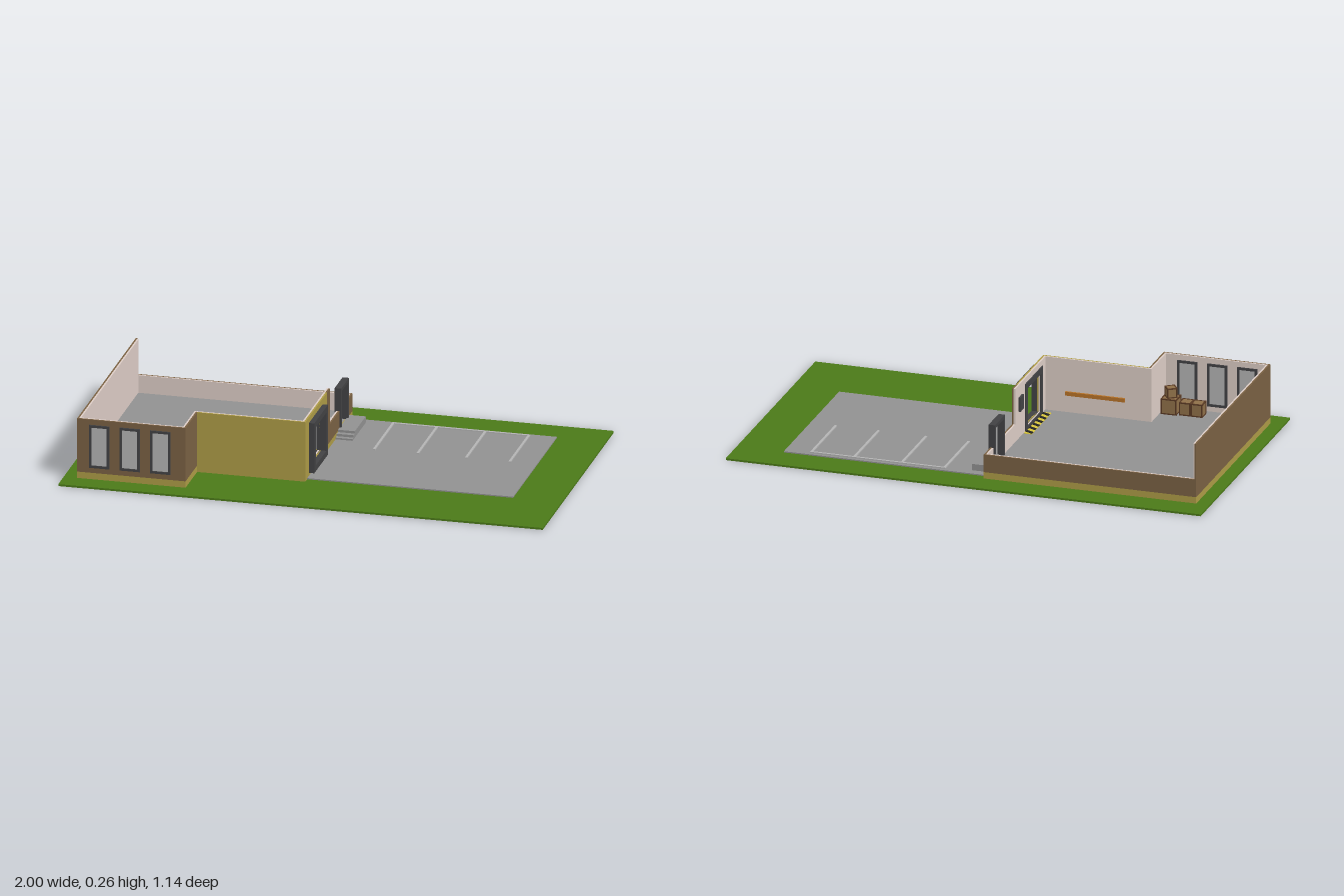
import * as THREE from 'three';

const mat = (color) => new THREE.MeshStandardMaterial({ color, flatShading: true });
const M = {
  grass: mat(0x4b7a18), paving: mat(0x919191), line: mat(0xb4b4b4), floor: mat(0x919191),
  yellow: mat(0xad9b46), brown: mat(0x7a6143), plaster: mat(0xddcdc6), dark: mat(0x424244),
  glass: mat(0xb4b4b4), orange: mat(0xb87328), wood: mat(0x8f7049), darkWood: mat(0x5a3a24),
  hazard: mat(0xd8c53c), black: mat(0x222222),
};

const GROUND = 0.008, FLOOR = 0.035, TOP = 0.262, LOW = 0.11, SKIN = 0.007;

export function createModel() {
  const root = new THREE.Group();

  // Box given by its minimum and maximum corners
  function box(name, m, x0, x1, y0, y1, z0, z1, parent = root) {
    const mesh = new THREE.Mesh(new THREE.BoxGeometry(x1 - x0, y1 - y0, z1 - z0), m);
    mesh.position.set((x0 + x1) / 2, (y0 + y1) / 2, (z0 + z1) / 2);
    mesh.name = name;
    parent.add(mesh);
    return mesh;
  }

  function rect(Type, x0, x1, y0, y1) {
    const p = new Type();
    p.moveTo(x0, y0);
    p.lineTo(x1, y0);
    p.lineTo(x1, y1);
    p.lineTo(x0, y1);
    p.closePath();
    return p;
  }

  // One wall skin from (ax, az) to (bx, bz); thickness grows to the inside
  function skin(name, m, [ax, az], [bx, bz], y0, y1, inset, hole) {
    const len = Math.hypot(bx - ax, bz - az), dx = (bx - ax) / len, dz = (bz - az) / len;
    const shape = rect(THREE.Shape, 0, len, y0, y1);
    if (hole) shape.holes.push(rect(THREE.Path, ...hole));
    const mesh = new THREE.Mesh(
      new THREE.ExtrudeGeometry(shape, { depth: SKIN, bevelEnabled: false }), m);
    mesh.rotation.y = Math.atan2(-dz, dx);
    mesh.position.set(ax - dz * inset, 0, az + dx * inset);
    mesh.name = name;
    root.add(mesh);
  }

  // Upright rectangular frame of four bars, facing x or z
  function frame(name, axis, u0, u1, y0, y1, d0, d1, w, sill = w) {
    const g = new THREE.Group();
    g.name = name;
    const bar = (a0, a1, b0, b1) => axis === 'x'
      ? box('frameBar', M.dark, d0, d1, b0, b1, a0, a1, g)
      : box('frameBar', M.dark, a0, a1, b0, b1, d0, d1, g);
    bar(u0, u0 + w, y0, y1);
    bar(u1 - w, u1, y0, y1);
    bar(u0 + w, u1 - w, y1 - w, y1);
    if (sill) bar(u0 + w, u1 - w, y0, y0 + sill);
    root.add(g);
  }

  // Site
  box('lawn', M.grass, -1, 1, 0, GROUND, -0.57, 0.57);
  box('parkingPad', M.paving, -0.05, 0.8, GROUND, 0.013, -0.435, 0.268);
  for (const x of [0.13, 0.31, 0.51, 0.69])
    box('parkingLine', M.line, x - 0.005, x + 0.005, 0.013, 0.018, -0.41, -0.105);
  box('parkingEndLine', M.line, 0.125, 0.695, 0.013, 0.018, -0.42, -0.41);

  // L-shaped floor slab
  const W = -0.945, E = -0.05, N = -0.46, S = 0.482, C = -0.497, K = 0.297;
  const plan = new THREE.Shape([[W, S], [C, S], [C, K], [E, K], [E, N], [W, N]].map(([x, z]) =>
    new THREE.Vector2(x + (x === W ? 1 : -1) * 0.004, -z + (z === N ? -1 : 1) * 0.004)));
  const slab = new THREE.Mesh(
    new THREE.ExtrudeGeometry(plan, { depth: FLOOR - GROUND, bevelEnabled: false }), M.floor);
  slab.rotation.x = -Math.PI / 2;
  slab.position.y = GROUND;
  slab.name = 'floor';
  root.add(slab);

  // Outer walls: yellow plinth below, coloured band above
  const gate = [0.045, 0.215];
  const outer = [
    ['frontWall', M.brown, [C, S], [W, S], TOP],
    ['farWall', M.brown, [W, S], [W, N], TOP],
    ['backWall', M.brown, [W, N], [E, N], LOW],
    ['doorSideWall', M.brown, [E, N], [E, -0.375], LOW],
    ['doorSideWall', M.brown, [E, -0.25], [E, -0.1], LOW],
    ['endWall', M.brown, [E, -0.1], [E, -0.052], TOP],
    ['yellowFrontWall', M.yellow, [E, K], [C, K], TOP],
    ['returnWall', M.brown, [C, K - SKIN], [C, S], TOP],
  ];
  for (const [name, m, a, b, top] of outer) {
    skin(name, m, a, b, FLOOR, top, 0);
    skin(name + 'Plinth', M.yellow, a, b, GROUND, FLOOR, 0);
  }
  skin('doorPlinth', M.yellow, [E, -0.375], [E, -0.25], GROUND, FLOOR, 0);
  skin('gateWall', M.yellow, [E, -0.052], [E, K], GROUND, TOP, 0,
    [gate[0] + 0.052, gate[1] + 0.052, 0.05, 0.215]);

  // Plaster on the inside of every wall
  const t = SKIN, t2 = SKIN * 2;
  const inner = [
    [[C - t, S], [W + t, S], TOP],
    [[W, S - t], [W, N + t], TOP],
    [[W + t, N], [E - t, N], LOW],
    [[E, N + t], [E, -0.375], LOW],
    [[E, -0.25], [E, -0.1], LOW],
    [[E - t, K], [C - t2, K], TOP],
    [[C, K - t2], [C, S - t], TOP],
  ];
  for (const [a, b, top] of inner) skin('innerPlaster', M.plaster, a, b, FLOOR, top, t);
  skin('gatePlaster', M.plaster, [E, -0.1], [E, K - t], FLOOR, TOP, t,
    [gate[0] + 0.1, gate[1] + 0.1, 0.05, 0.215]);

  // Gate, door and windows
  frame('gateFrame', 'x', 0.02, 0.24, 0.025, 0.238, -0.069, -0.028, 0.025);
  frame('doorFrame', 'x', -0.377, -0.25, FLOOR, 0.207, -0.07, -0.043, 0.014, 0);
  for (const x of [-0.853, -0.727, -0.601]) {
    frame('windowFrame', 'z', x - 0.042, x + 0.042, 0.058, 0.24, S - 0.02, S + 0.006, 0.01);
    box('windowGlass', M.glass, x - 0.033, x + 0.033, 0.067, 0.231, S - 0.016, S + 0.002);
  }

  // Entrance steps and mat
  [[0.04, -0.225], [0.03, -0.205], [0.02, -0.187]].forEach(([h, z], i) =>
    box('entranceStep', M.paving, E, 0.02, 0.01, h, i ? [0, -0.225, -0.205][i] : -0.4, z));
  box('doorMat', M.line, -0.117, -0.066, FLOOR, 0.038, -0.36, -0.275);

  // Hazard strip inside the gate
  box('hazardStrip', M.hazard, -0.1, -0.067, FLOOR, 0.037, 0, 0.25);
  for (let i = 0; i < 6; i++) {
    const z = 0.002 + i * 0.042;
    const s = new THREE.Shape([[-0.1, z], [-0.067, z + 0.016], [-0.067, z + 0.036], [-0.1, z + 0.02]]
      .map(([x, v]) => new THREE.Vector2(x, -v)));
    const stripe = new THREE.Mesh(
      new THREE.ExtrudeGeometry(s, { depth: 0.001, bevelEnabled: false }), M.black);
    stripe.rotation.x = -Math.PI / 2;
    stripe.position.y = 0.037;
    stripe.name = 'hazardStripe';
    root.add(stripe);
  }

  // Wall fittings
  box('controlPanel', M.dark, -0.073, -0.064, 0.15, 0.21, -0.06, -0.015);
  box('wallRail', M.orange, -0.4, -0.15, 0.108, 0.124, 0.274, K - t2);

  // Open racks on the far wall
  for (const z of [0.29, 0.375]) {
    const rack = new THREE.Group();
    rack.name = 'rack';
    box('rackBack', M.darkWood, -0.931, -0.924, FLOOR, 0.15, z, z + 0.065, rack);
    for (const side of [z, z + 0.059])
      box('rackSide', M.darkWood, -0.924, -0.888, FLOOR, 0.15, side, side + 0.006, rack);
    root.add(rack);
  }

  // Crates with battened edges
  function crate(x, y, z, w, h, d, turn = 0) {
    const g = new THREE.Group();
    g.name = 'crate';
    const b = 0.005, e = 0.0015;
    box('crateBody', M.wood, -w / 2 + e, w / 2 - e, e, h - e, -d / 2 + e, d / 2 - e, g);
    for (const s of [-1, 1]) {
      const px = s * (w - b) / 2, pz = s * (d - b) / 2;
      for (const y0 of [0, h - b]) {
        box('batten', M.darkWood, px - b / 2, px + b / 2, y0, y0 + b, -d / 2, d / 2, g);
        box('batten', M.darkWood, -w / 2 + b, w / 2 - b, y0, y0 + b, pz - b / 2, pz + b / 2, g);
      }
      for (const k of [-1, 1]) {
        const qz = k * (d - b) / 2;
        box('batten', M.darkWood, px - b / 2, px + b / 2, b, h - b, qz - b / 2, qz + b / 2, g);
      }
    }
    g.position.set(x, y, z);
    g.rotation.y = turn;
    root.add(g);
  }
  crate(-0.665, FLOOR, 0.415, 0.049, 0.055, 0.052);
  crate(-0.615, FLOOR, 0.415, 0.049, 0.055, 0.052);
  crate(-0.55, FLOOR, 0.413, 0.066, 0.066, 0.066);
  crate(-0.55, FLOOR + 0.066, 0.413, 0.042, 0.042, 0.042, 0.6);

  return root;
}
